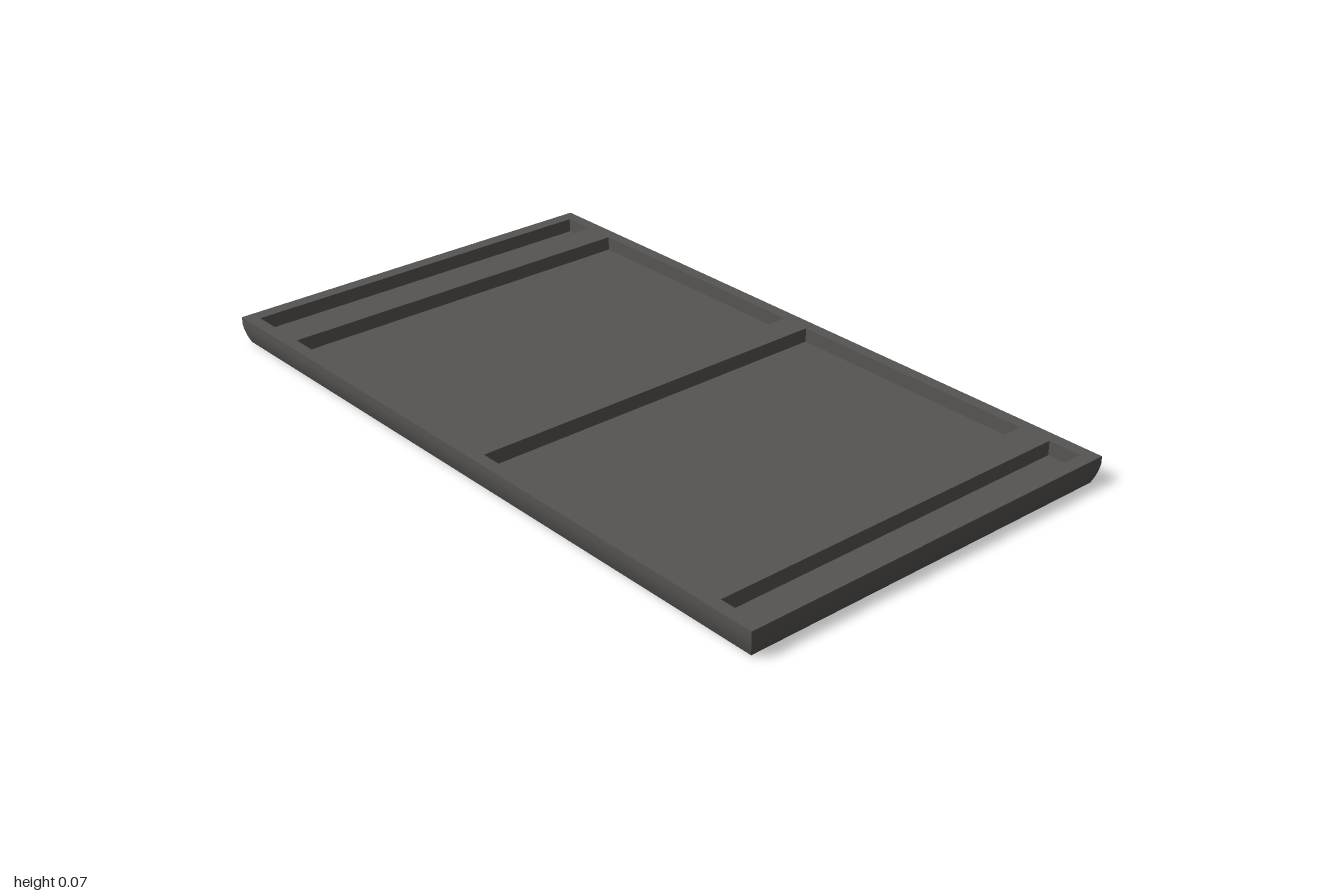
import * as THREE from 'three';

const HX = 0.967, HZ = 0.55, TOP = 0.07, FLOOR = 0.032, POCKET_HZ = 0.517;

// Four walls through rings of [inset, y]; rising rings face outward, falling rings face inward.
function walls(x0, x1, hz, rings) {
  const pos = [], index = [];
  const n = rings.length;
  const ring = ([inset, y]) => [
    [x1 - inset, y, hz - inset], [x1 - inset, y, -hz + inset],
    [x0 + inset, y, -hz + inset], [x0 + inset, y, hz - inset],
  ];
  for (let s = 0; s < 4; s++) {
    const base = s * n * 2;
    rings.forEach((r, i) => {
      const c = ring(r);
      pos.push(...c[s], ...c[(s + 1) % 4]);
      if (i < n - 1) {
        const a = base + i * 2;
        index.push(a, a + 1, a + 3, a, a + 3, a + 2);
      }
    });
  }
  const geo = new THREE.BufferGeometry();
  geo.setAttribute('position', new THREE.Float32BufferAttribute(pos, 3));
  geo.setIndex(index);
  geo.computeVertexNormals();
  return geo;
}

function rectangle(target, x0, x1, hz) {
  target.moveTo(x0, -hz);
  target.lineTo(x1, -hz);
  target.lineTo(x1, hz);
  target.lineTo(x0, hz);
  target.closePath();
  return target;
}

export function createModel() {
  const model = new THREE.Group();
  model.name = 'gameTray';
  const charcoal = new THREE.MeshStandardMaterial({ color: 0x575552 });
  charcoal.name = 'charcoal';
  const add = (geo, name, parent = model) => {
    const mesh = new THREE.Mesh(geo, charcoal);
    mesh.name = name;
    parent.add(mesh);
    return mesh;
  };

  // Outer rim, curving in toward the base
  const profile = [[0.014, 0], [0.008, 0.015], [0.003, 0.032], [0, 0.05], [0, TOP]];
  add(walls(-HX, HX, HZ, profile), 'outerRim');

  // Underside
  const base = new THREE.PlaneGeometry(2 * (HX - 0.014), 2 * (HZ - 0.014));
  add(base.rotateX(Math.PI / 2), 'underside');

  // Two narrow side trays and two wide playing panels
  const pockets = [
    ['rightSideTray', -0.93, -0.841], ['rightPanel', -0.754, -0.04],
    ['leftPanel', 0.04, 0.754], ['leftSideTray', 0.841, 0.93],
  ];
  const face = rectangle(new THREE.Shape(), -HX, HX, HZ);
  for (const [name, x0, x1] of pockets) {
    face.holes.push(rectangle(new THREE.Path(), x0, x1, POCKET_HZ));
    const pocket = new THREE.Group();
    pocket.name = name;
    model.add(pocket);
    add(walls(x0, x1, POCKET_HZ, [[0, TOP], [0, FLOOR]]), name + 'Walls', pocket);
    const floor = new THREE.PlaneGeometry(x1 - x0, 2 * POCKET_HZ).rotateX(-Math.PI / 2);
    add(floor.translate((x0 + x1) / 2, FLOOR, 0), name + 'Floor', pocket);
  }

  // Top frame around the pockets
  add(new THREE.ShapeGeometry(face).rotateX(-Math.PI / 2).translate(0, TOP, 0), 'topFrame');

  // The tray sits slightly turned
  model.rotation.y = 0.062;
  return model;
}
